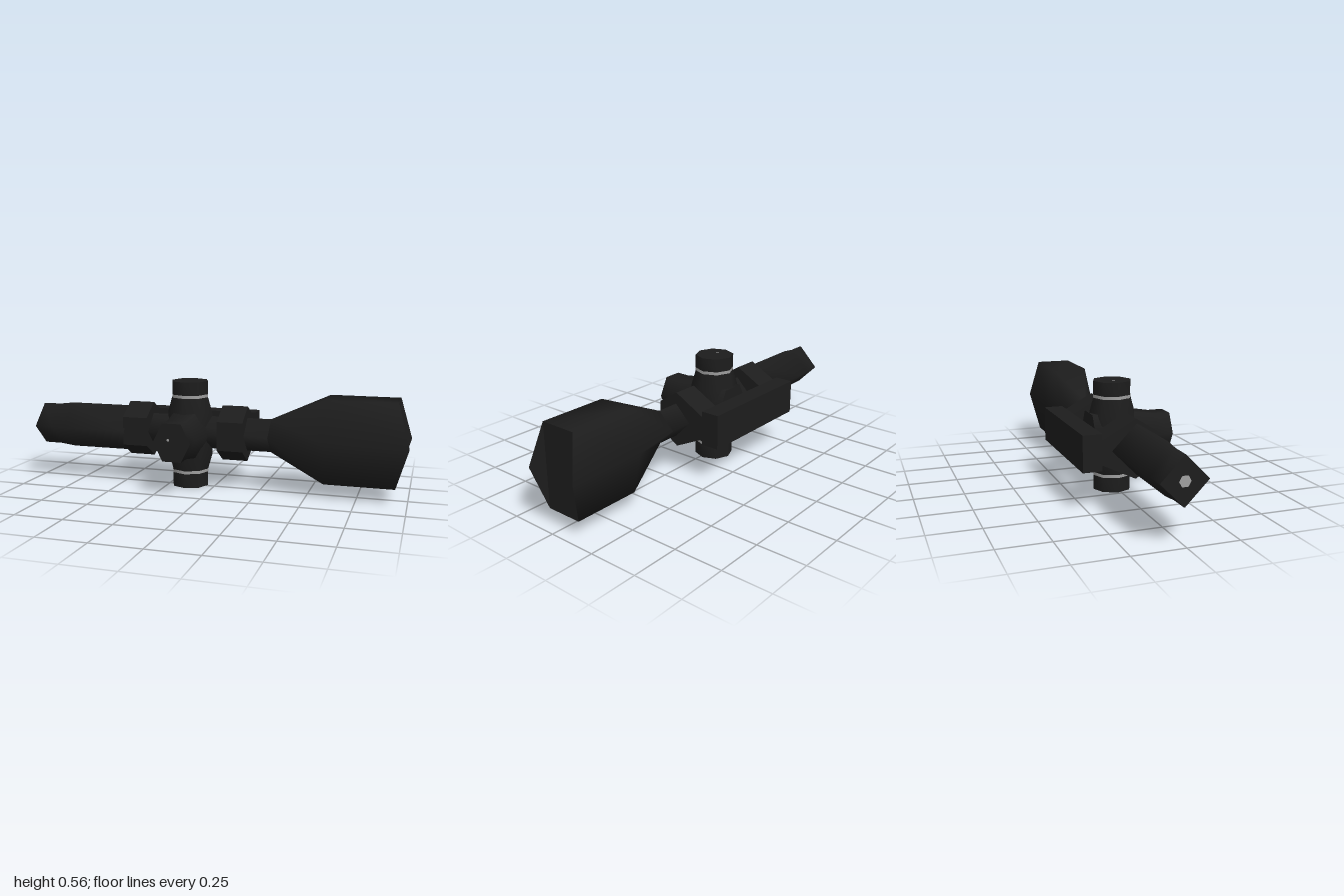
import * as THREE from 'three';
import { toCreasedNormals, mergeGeometries } from 'three/addons/utils/BufferGeometryUtils.js';

const AXIS_Y = 0.289, AXIS_Z = -0.016, TURRET_X = -0.138, TURRET_Z = -0.015;
const DIAMOND = 0.02; // corner ratio that narrows the hexagon to a diamond

function triangles(list, crease) {
  const g = new THREE.BufferGeometry();
  g.setAttribute('position', new THREE.Float32BufferAttribute(list.flat(2), 3));
  return toCreasedNormals(g, crease);
}

// Six-sided loft along +x with flat ends. Each section: [x, halfHeight, halfWidth, cornerRatio, tipShift]
function hexLoft(sections, crease) {
  const sides = [], caps = [];
  const rings = sections.map(([x, ry, rz, c, tip = 0]) =>
    [[1, c], [0, 1], [-1, c], [-1, -c], [0, -1], [1, -c]].map(([y, z]) =>
      [x + (y === 0 ? tip : 0), y * ry, z * rz]));
  for (let i = 0; i < rings.length - 1; i++) {
    for (let k = 0; k < 6; k++) {
      const n = (k + 1) % 6, p = rings[i], q = rings[i + 1];
      sides.push([p[k], p[n], q[n]], [p[k], q[n], q[k]]);
    }
  }
  // Flat middle with a triangular flap on each side
  const first = rings[0], last = rings[rings.length - 1];
  for (const [a, b, c] of [[0, 1, 2], [3, 4, 5], [0, 2, 3], [0, 3, 5]]) {
    caps.push([last[a], last[b], last[c]], [first[a], first[c], first[b]]);
  }
  return mergeGeometries([triangles(sides, crease), triangles(caps, 0.3)]);
}

// Eight-sided turned solid around y
function turned(profile) {
  const pts = profile.map(([r, y]) => new THREE.Vector2(r, y));
  return toCreasedNormals(new THREE.LatheGeometry(pts, 8), 0.9);
}

export function createModel() {
  const group = new THREE.Group();
  const black = new THREE.MeshStandardMaterial({ color: 0x1d1d1d });
  black.name = 'matte black';
  const grey = new THREE.MeshStandardMaterial({ color: 0xa0a0a0 });
  grey.name = 'light grey';

  function add(name, geometry, material, x = 0, y = 0, z = 0) {
    const mesh = new THREE.Mesh(geometry, material);
    mesh.name = name;
    mesh.position.set(x, y, z);
    group.add(mesh);
    return mesh;
  }

  // Optical tube: eyepiece, main tube and flared objective bell
  add('eyepiece', hexLoft([
    [-1, 0.111, 0.111, DIAMOND], [-0.9, 0.112, 0.112, DIAMOND],
    [-0.82, 0.122, 0.122, DIAMOND], [-0.47, 0.122, 0.122, DIAMOND],
  ], 3), black, 0, AXIS_Y, AXIS_Z);
  add('mainTube', hexLoft([
    [-0.48, 0.086, 0.086, DIAMOND], [0.31, 0.086, 0.086, DIAMOND],
  ], 3), black, 0, AXIS_Y, AXIS_Z);
  add('objectiveBell', hexLoft([
    [0.3, 0.086, 0.086, DIAMOND], [0.59, 0.212, 0.142, 0.67], [0.94, 0.212, 0.142, 0.67, 0.06],
  ], 3), black, 0, AXIS_Y, AXIS_Z);
  add('eyepieceLens', new THREE.CircleGeometry(0.028, 6).rotateY(-Math.PI / 2), grey, -1.001, AXIS_Y, AXIS_Z);

  // Mounting rings reach back to the rail; outline given as (z, y)
  const outline = [[0.09, 0.365], [-0.02, 0.435], [-0.19, 0.343], [-0.19, 0.228], [-0.02, 0.145], [0.09, 0.215]];
  const ringShape = new THREE.Shape(outline.map(([z, y]) => new THREE.Vector2(-z, y)));
  for (const [name, x] of [['rearMountRing', -0.48], ['frontMountRing', 0.04]]) {
    const ring = new THREE.ExtrudeGeometry(ringShape, { depth: 0.135, bevelEnabled: false });
    add(name, ring.rotateY(Math.PI / 2), black, x);
  }
  add('mountRail', new THREE.BoxGeometry(0.655, 0.177, 0.096), black, -0.1525, 0.2865, -0.232);

  // Turret housing with caps and light index bands
  add('turretHousing', turned([
    [0, 0.075], [0.097, 0.075], [0.099, 0.09], [0.122, 0.17], [0.122, 0.395],
    [0.099, 0.475], [0.097, 0.49], [0, 0.49],
  ]), black, TURRET_X, 0, TURRET_Z);
  for (const [name, capY, h, bandY] of [['upper', 0.525, 0.07, 0.483], ['lower', 0.0375, 0.075, 0.083]]) {
    add(name + 'TurretCap', turned([[0, -h / 2], [0.099, -h / 2], [0.099, h / 2], [0, h / 2]]),
      black, TURRET_X, capY, TURRET_Z);
    add(name + 'IndexBand', turned([[0.0998, -0.008], [0.0998, 0.008]]), grey, TURRET_X, bandY, TURRET_Z);
  }

  // Cross body running back to front, tapering into the side knob
  add('sideKnob', hexLoft([
    [-0.138, 0.117, 0.121, 0.5], [0.06, 0.12, 0.121, 0.5],
    [0.2, 0.097, 0.098, 0.5], [0.28, 0.097, 0.098, 0.5],
  ], 1.2).rotateY(-Math.PI / 2), black, TURRET_X, 0.283, 0);

  // Small index dots on the knob face and the upper cap
  add('knobDot', new THREE.CircleGeometry(0.008, 6), grey, TURRET_X - 0.018, 0.297, 0.281);
  add('capDot', new THREE.CircleGeometry(0.008, 6).rotateX(-Math.PI / 2), grey, TURRET_X - 0.025, 0.561, TURRET_Z);

  return group;
}
